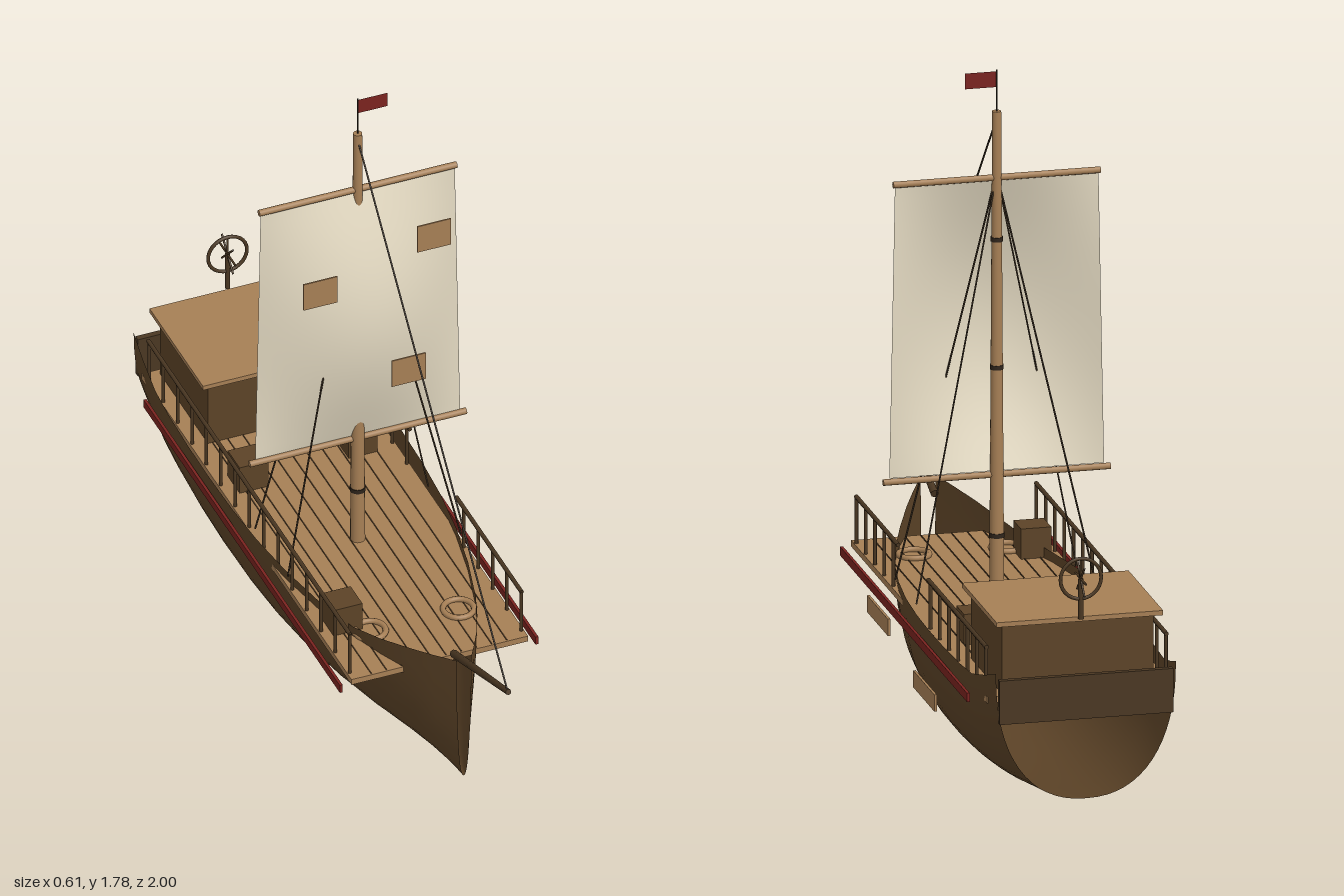
import * as THREE from 'three';

const mat = (name, color, side = THREE.FrontSide) => {
  const m = new THREE.MeshStandardMaterial({ color, side });
  m.name = name;
  return m;
};

export function createModel() {
  const ship = new THREE.Group();
  ship.name = 'sailingShip';
  const hullWood = mat('hull wood', 0x5c4327, THREE.DoubleSide);
  const darkWood = mat('dark wood', 0x4a3722);
  const lightWood = mat('light wood', 0xa67f55);
  const iron = mat('dark iron', 0x2e241b);
  const rope = mat('rope', 0x3b2e20);
  const canvas = mat('canvas', 0xe4dac2, THREE.DoubleSide);
  const red = mat('red paint', 0x7a231f, THREE.DoubleSide);

  const add = (name, geo, material, x = 0, y = 0, z = 0) => {
    const mesh = new THREE.Mesh(geo, material);
    mesh.name = name;
    mesh.position.set(x, y, z);
    ship.add(mesh);
    return mesh;
  };
  // box given by its low and high corners
  const box = (name, material, x0, x1, y0, y1, z0, z1) =>
    add(name, new THREE.BoxGeometry(x1 - x0, y1 - y0, z1 - z0), material,
      (x0 + x1) / 2, (y0 + y1) / 2, (z0 + z1) / 2);
  // round bar between two points
  const bar = (name, material, a, b, r0, r1 = r0, sides = 8) => {
    const p = new THREE.Vector3(...a), q = new THREE.Vector3(...b);
    const dir = q.clone().sub(p);
    const mesh = add(name, new THREE.CylinderGeometry(r1, r0, dir.length(), sides), material);
    mesh.position.copy(p).add(q).multiplyScalar(0.5);
    mesh.quaternion.setFromUnitVectors(new THREE.Vector3(0, 1, 0), dir.normalize());
    return mesh;
  };

  // Hull: open-ended shell lofted through stations [z, half beam, keel y, sheer y]
  const stations = [
    [0.69, 0.02, 0.075, 0.455], [0.62, 0.058, 0.075, 0.437], [0.55, 0.093, 0.073, 0.42],
    [0.45, 0.137, 0.065, 0.395], [0.35, 0.174, 0.053, 0.375], [0.2, 0.214, 0.033, 0.372],
    [0.05, 0.242, 0.016, 0.372], [-0.1, 0.26, 0.006, 0.372], [-0.25, 0.269, 0.002, 0.372],
    [-0.4, 0.272, 0.004, 0.372], [-0.55, 0.271, 0.013, 0.372], [-0.7, 0.266, 0.029, 0.372],
    [-0.8, 0.26, 0.043, 0.375], [-0.9, 0.252, 0.058, 0.4], [-0.99, 0.243, 0.07, 0.428],
  ];
  const around = 32, pos = [], idx = [];
  stations.forEach(([z, w, keel, sheer], i) => {
    for (let j = 0; j <= around; j++) {
      const t = Math.PI * (0.5 - j / around);
      const s = Math.sin(t), c = Math.max(0, Math.cos(t));
      pos.push(w * Math.sign(s) * Math.abs(s) ** 0.87, sheer - (sheer - keel) * c ** 0.87, z);
      if (i && j < around) {
        const c0 = i * (around + 1) + j, a0 = c0 - around - 1;
        idx.push(a0, a0 + 1, c0, a0 + 1, c0 + 1, c0);
      }
    }
  });
  const hull = new THREE.BufferGeometry();
  hull.setAttribute('position', new THREE.Float32BufferAttribute(pos, 3));
  hull.setIndex(idx);
  hull.computeVertexNormals();
  add('hull', hull, hullWood);
  box('sternBoard', darkWood, -0.235, 0.235, 0.29, 0.41, -0.997, -0.98);

  // Deck with plank seams
  box('deck', lightWood, -0.25, 0.25, 0.328, 0.345, -0.92, 0.525);
  for (const x of [0.02, 0.063, 0.106, 0.149, 0.192])
    for (const s of [-1, 1])
      box('plankSeam', darkWood, s * x - 0.0015, s * x + 0.0015, 0.344, 0.347, -0.57, 0.52);

  // Side strakes and hull repair plates
  for (const s of [-1, 1])
    box('strake', red, s * 0.277 - 0.004, s * 0.277 + 0.004, 0.307, 0.331, -0.83, 0.52);
  box('hullPatch', lightWood, 0.272, 0.279, 0.235, 0.281, 0.02, 0.24);
  box('hullPatch', lightWood, 0.272, 0.279, 0.175, 0.221, -0.475, -0.25);

  // Cabin
  box('cabin', hullWood, -0.205, 0.205, 0.345, 0.536, -0.902, -0.572);
  box('cabinRoof', lightWood, -0.225, 0.225, 0.535, 0.548, -0.925, -0.557);
  box('cabinDoor', darkWood, -0.062, 0.062, 0.345, 0.5, -0.573, -0.564);

  // Steering wheel on its post
  bar('wheelPost', darkWood, [0, 0.545, -0.935], [0, 0.655, -0.935], 0.007);
  add('wheelRim', new THREE.TorusGeometry(0.055, 0.005, 8, 28), darkWood, 0, 0.655, -0.935);
  for (let i = 0; i < 4; i++) {
    const a = i * Math.PI / 4, c = 0.055 * Math.cos(a), s = 0.055 * Math.sin(a);
    bar('wheelSpoke', darkWood, [0, 0.655 - s, -0.935 - c], [0, 0.655 + s, -0.935 + c], 0.003);
  }

  // Railings: whole on the right side, with a gap amidships on the left
  const railing = (x, z0, z1) => {
    bar('rail', darkWood, [x, 0.472, z0], [x, 0.472, z1], 0.006);
    for (let i = 0; i < 15; i++) {
      const z = 0.495 - i * 0.0985;
      if (z <= z0 + 0.001 && z >= z1 - 0.001)
        bar('railPost', darkWood, [x, 0.34, z], [x, 0.472, z], 0.005);
    }
  };
  railing(-0.243, 0.498, -0.89);
  railing(0.243, 0.498, 0.05);
  railing(0.243, -0.27, -0.89);

  // Crates and rope coils
  for (const [x, z] of [[-0.17, -0.38], [0.152, -0.412], [-0.18, 0.29]])
    box('crate', hullWood, x - 0.041, x + 0.041, 0.345, 0.428, z - 0.041, z + 0.041);
  for (const s of [-1, 1])
    add('ropeCoil', new THREE.TorusGeometry(0.041, 0.008, 8, 24), lightWood, s * 0.125, 0.35, 0.35)
      .rotation.x = Math.PI / 2;

  // Mast, yards and bowsprit
  const mz = -0.04;
  bar('mast', lightWood, [0, 0.34, mz], [0, 1.67, mz], 0.02, 0.012, 16);
  for (const [y, r] of [[0.51, 0.021], [0.97, 0.018], [1.32, 0.0165]])
    bar('mastBand', iron, [0, y - 0.006, mz], [0, y + 0.006, mz], r, r, 16);
  bar('upperYard', lightWood, [-0.28, 1.488, mz], [0.28, 1.488, mz], 0.009);
  bar('lowerYard', lightWood, [-0.307, 0.675, mz], [0.307, 0.675, mz], 0.009);
  bar('bowsprit', darkWood, [0, 0.425, 0.62], [0, 0.56, 0.997], 0.011, 0.008);

  // Billowed sail: a plane pushed forward in the middle
  const sail = new THREE.PlaneGeometry(2, 2, 24, 24), p = sail.attributes.position;
  for (let i = 0; i < p.count; i++) {
    const u = p.getX(i), v = p.getY(i);
    p.setXYZ(i, u * (0.2825 - 0.0075 * v), 1.083 + v * 0.398,
      mz + 0.087 * Math.cos(u * Math.PI / 2) * Math.cos(v * Math.PI / 2));
  }
  sail.computeVertexNormals();
  add('sail', sail, canvas);
  for (const [x, y] of [[-0.142, 1.248], [0.18, 1.346], [0.108, 0.927]])
    box('sailPatch', lightWood, x - 0.048, x + 0.048, y - 0.042, y + 0.042, 0.046, 0.05);

  // Flag
  bar('flagPole', iron, [0, 1.66, mz], [0, 1.783, mz], 0.002);
  add('flag', new THREE.PlaneGeometry(0.084, 0.043), red, 0.043, 1.757, mz);

  // Rigging
  bar('forestay', rope, [0, 1.65, mz], [0, 0.56, 0.99], 0.0025, 0.0025, 6);
  for (const s of [-1, 1])
    for (const z of [0.075, -0.15])
      bar('shroud', rope, [0, 1.5, mz], [s * 0.245, 0.37, z], 0.0025, 0.0025, 6);

  return ship;
}
